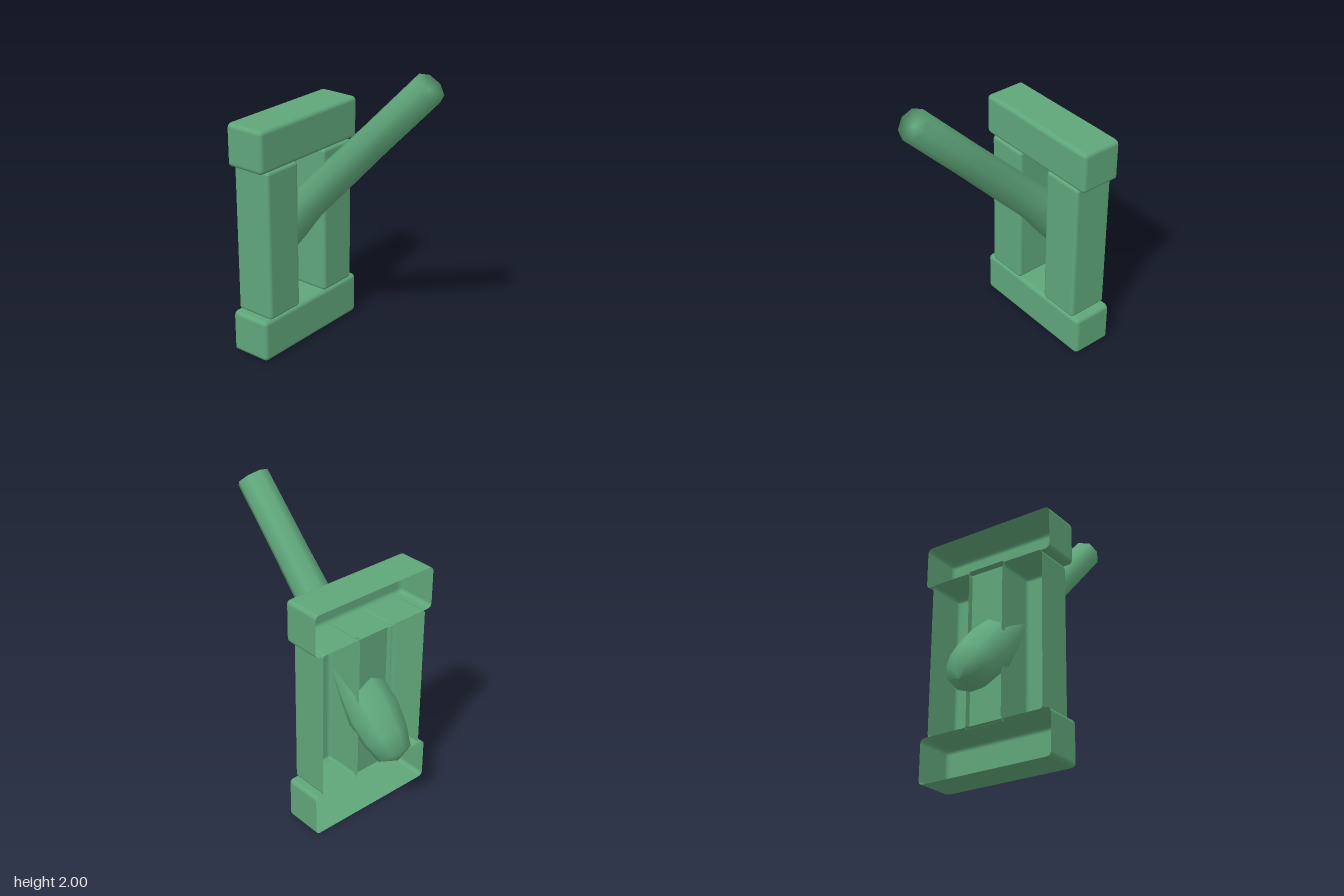
import * as THREE from 'three';
import { RoundedBoxGeometry } from 'three/addons/geometries/RoundedBoxGeometry.js';

const BACK = -0.47;
const material = new THREE.MeshStandardMaterial({ color: 0x5fa67a, side: THREE.DoubleSide });

// Rounded block with an open back: the front half of a box twice as deep
function openShell(name, x0, x1, y0, y1, depth, radius) {
  const box = new RoundedBoxGeometry(x1 - x0, y1 - y0, depth * 2, 2, radius);
  const pos = box.attributes.position, nor = box.attributes.normal;
  const points = [], normals = [];
  for (let i = 0; i < pos.count; i += 3) {
    const corners = [i, i + 1, i + 2];
    if (corners.every((k) => pos.getZ(k) < 0)) continue;
    for (const k of corners) {
      points.push(pos.getX(k), pos.getY(k), Math.max(0, pos.getZ(k)));
      normals.push(nor.getX(k), nor.getY(k), nor.getZ(k));
    }
  }
  const geometry = new THREE.BufferGeometry();
  geometry.setAttribute('position', new THREE.Float32BufferAttribute(points, 3));
  geometry.setAttribute('normal', new THREE.Float32BufferAttribute(normals, 3));
  const mesh = new THREE.Mesh(geometry, material);
  mesh.name = name;
  mesh.position.set((x0 + x1) / 2, (y0 + y1) / 2, BACK);
  return mesh;
}

// Eight-sided tilted handle, swelling to a rounded foot behind the frame
function makeLever() {
  const profile = [
    [0, -2.0], [0.113, -1.956], [0.152, -1.83], [0.174, -1.67], [0.157, -1.5],
    [0.126, -1.28], [0.122, -1.0], [0.112, -0.55], [0.108, 0], [0, -0.015],
  ].map(([r, y]) => new THREE.Vector2(r, y));
  const lever = new THREE.Mesh(new THREE.LatheGeometry(profile, 8), material);
  lever.name = 'lever';
  lever.scale.z = 0.96;
  lever.rotation.x = 0.767;
  lever.position.set(0, 1.928, 0.687);
  return lever;
}

export function createModel() {
  const group = new THREE.Group();
  group.name = 'leverSwitch';

  // Frame: two wide rails and two posts
  group.add(openShell('bottomRail', -0.47, 0.47, 0, 0.29, 0.27, 0.03));
  group.add(openShell('topRail', -0.47, 0.47, 1.305, 1.59, 0.27, 0.03));
  group.add(openShell('leftPost', 0.125, 0.415, 0.285, 1.31, 0.27, 0.025));
  group.add(openShell('rightPost', -0.415, -0.125, 0.285, 1.31, 0.27, 0.025));

  // Thin panel closing the slot at the back
  group.add(openShell('slotPanel', -0.13, 0.13, 0.275, 1.32, 0.03, 0.004));

  group.add(makeLever());
  return group;
}
